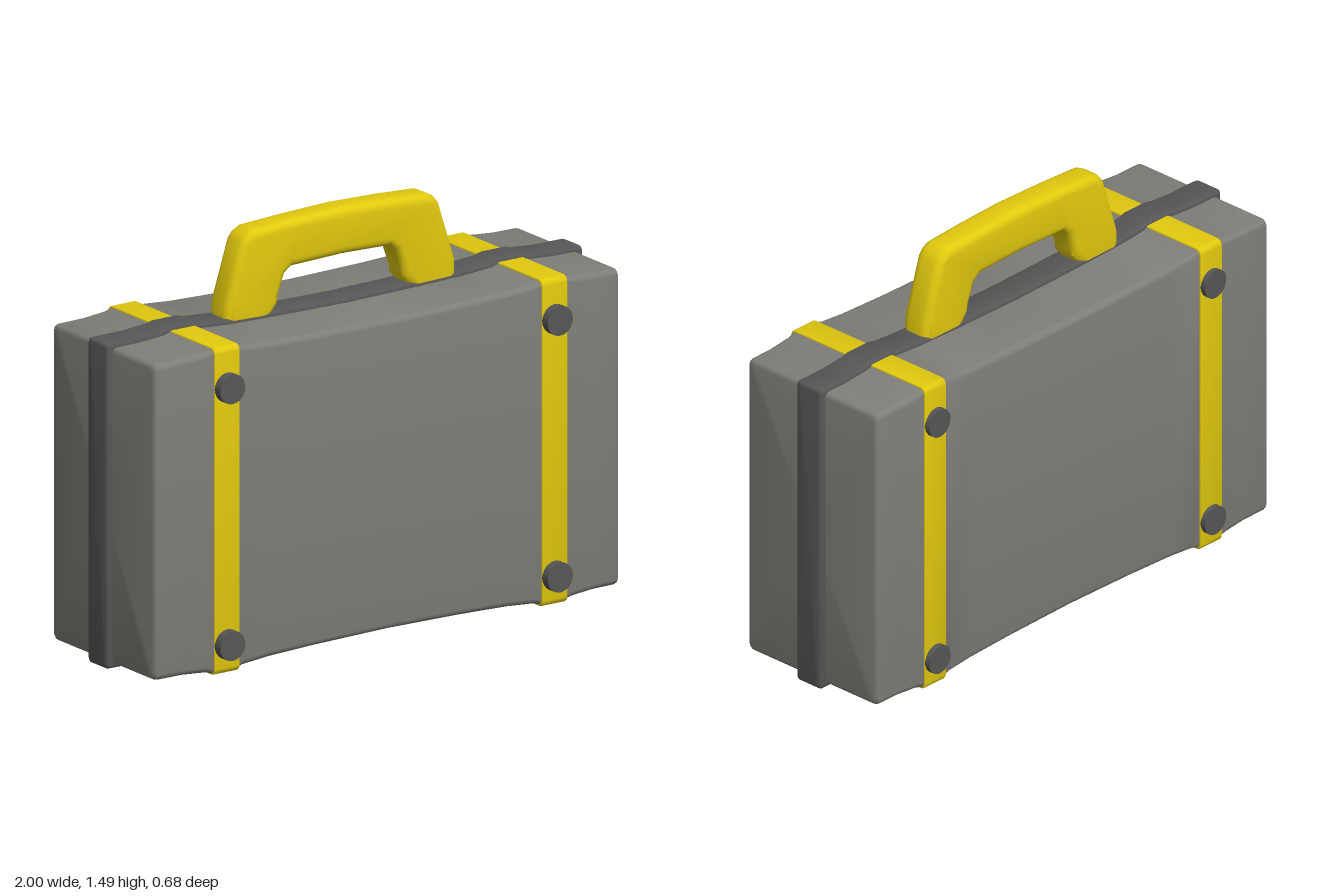
import * as THREE from 'three';
import { toCreasedNormals } from 'three/addons/utils/BufferGeometryUtils.js';

const grey = new THREE.MeshStandardMaterial({ color: 0x7f7d77 });
const dark = new THREE.MeshStandardMaterial({ color: 0x565656 });
const yellow = new THREE.MeshStandardMaterial({ color: 0xe2c90e });

const CY = 0.6, CZ = -0.008;      // centre of the case
const STRAPS = [-0.68, 0.695];    // strap positions along x

// Swell of the case along x: raised under the straps, sagging in the middle
const SWELL = [[0, -0.01], [0.3, -0.006], [0.5, 0], [0.61, 0.008], [0.64, 0.016],
  [0.74, 0.016], [0.77, 0.009], [0.86, 0.002], [1.1, 0]];
function swell(x) {
  const a = Math.abs(x - 0.007);
  const i = SWELL.findIndex((p) => p[0] > a);
  const [p, q] = [SWELL[i - 1], SWELL[i]];
  return THREE.MathUtils.mapLinear(a, p[0], q[0], p[1], q[1]);
}

// Rounded rectangle in the z-y plane
function section(x, hy, hz, r, cz) {
  const pts = [];
  for (let c = 0; c < 4; c++) {
    const sy = c < 2 ? 1 : -1, sz = c === 0 || c === 3 ? 1 : -1;
    for (let k = 0; k <= 4; k++) {
      const t = (c + k / 4) * Math.PI / 2;
      pts.push([x, CY + sy * (hy - r) + r * Math.sin(t), cz + sz * (hz - r) + r * Math.cos(t)]);
    }
  }
  return pts;
}

// Box-like loft along x that follows the swell, with rounded ends
function loft(x0, x1, hy, hz, r, bevel, zSwell, cz) {
  const stations = [];
  for (let k = 0; k <= 3; k++) {
    const t = k / 3 * Math.PI / 2;
    const inX = bevel * (1 - Math.sin(t)), inset = bevel * (1 - Math.cos(t));
    stations.push([x0 + bevel - inX, 0, k], [x1 - bevel + inX, 0, k]);
    stations[2 * k] = [x0 + bevel * (1 - Math.cos(t)), bevel * (1 - Math.sin(t))];
    stations[2 * k + 1] = [x1 - bevel * (1 - Math.cos(t)), bevel * (1 - Math.sin(t))];
  }
  for (const s of [-1, 1]) {
    for (const [a] of SWELL) {
      const x = 0.007 + s * a;
      if (x > x0 + bevel + 0.001 && x < x1 - bevel - 0.001 && (a > 0 || s > 0)) stations.push([x, 0]);
    }
  }
  stations.sort((a, b) => a[0] - b[0]);

  const pos = [], idx = [];
  for (const [x, inset] of stations) {
    const d = swell(x);
    pos.push(...section(x, hy + d - inset, hz + d * zSwell - inset, r, cz).flat());
  }
  const n = 20, m = stations.length;
  for (let i = 0; i < m - 1; i++) {
    for (let j = 0; j < n; j++) {
      const a = i * n + j, d = i * n + (j + 1) % n;
      idx.push(a, a + n, d + n, a, d + n, d);
    }
  }
  // End caps
  const first = m * n, base = (m - 1) * n;
  pos.push(x0, CY, cz, x1, CY, cz);
  for (let j = 0; j < n; j++) {
    const k = (j + 1) % n;
    idx.push(first, j, k, first + 1, base + k, base + j);
  }
  const g = new THREE.BufferGeometry();
  g.setAttribute('position', new THREE.Float32BufferAttribute(pos, 3));
  g.setIndex(idx);
  return toCreasedNormals(g, 0.6);
}

function handleGeometry() {
  const outline = [[-0.495, 1.14], [-0.492, 1.23], [-0.425, 1.44], [-0.405, 1.465], [-0.375, 1.48],
    [-0.2, 1.489], [0, 1.495], [0.2, 1.489], [0.355, 1.48], [0.385, 1.465], [0.405, 1.44],
    [0.472, 1.23], [0.475, 1.14], [0.3, 1.14], [0.252, 1.2], [0.25, 1.225], [0.222, 1.3],
    [0.195, 1.32], [0, 1.326], [-0.215, 1.32], [-0.242, 1.3], [-0.27, 1.225], [-0.272, 1.2], [-0.32, 1.14]];
  const shape = new THREE.Shape(outline.map(([x, y]) => new THREE.Vector2(x, y)));
  const b = 0.03, width = 0.115;
  const g = new THREE.ExtrudeGeometry(shape, { depth: width - 2 * b, bevelEnabled: true,
    bevelSize: b, bevelOffset: -b, bevelThickness: b, bevelSegments: 4 });
  g.translate(0, 0, -0.07 + b);
  return toCreasedNormals(g, 0.65);
}

export function createModel() {
  const model = new THREE.Group();
  const add = (name, geometry, material) => {
    const mesh = new THREE.Mesh(geometry, material);
    mesh.name = name;
    model.add(mesh);
    return mesh;
  };

  // Case and the raised band around its seam
  add('caseBody', loft(-0.977, 0.977, 0.565, 0.305, 0.022, 0.018, 0.4, CZ), grey);
  add('seamBand', loft(-1, 1, 0.581, 0.058, 0.012, 0.012, 0, -0.012), dark);

  // Straps with two studs on each face
  for (const x of STRAPS) {
    add('strap', loft(x - 0.053, x + 0.053, 0.57, 0.31, 0.022, 0.003, 0.4, CZ), yellow);
    for (const y of [0.12, 1.04]) {
      for (const side of [-1, 1]) {
        const stud = add('stud', new THREE.CylinderGeometry(0.053, 0.053, 0.06, 24), dark);
        stud.rotation.x = Math.PI / 2;
        stud.position.set(x, y, -0.002 + side * 0.312);
      }
    }
  }

  // Carrying handle
  add('handle', handleGeometry(), yellow);
  return model;
}
